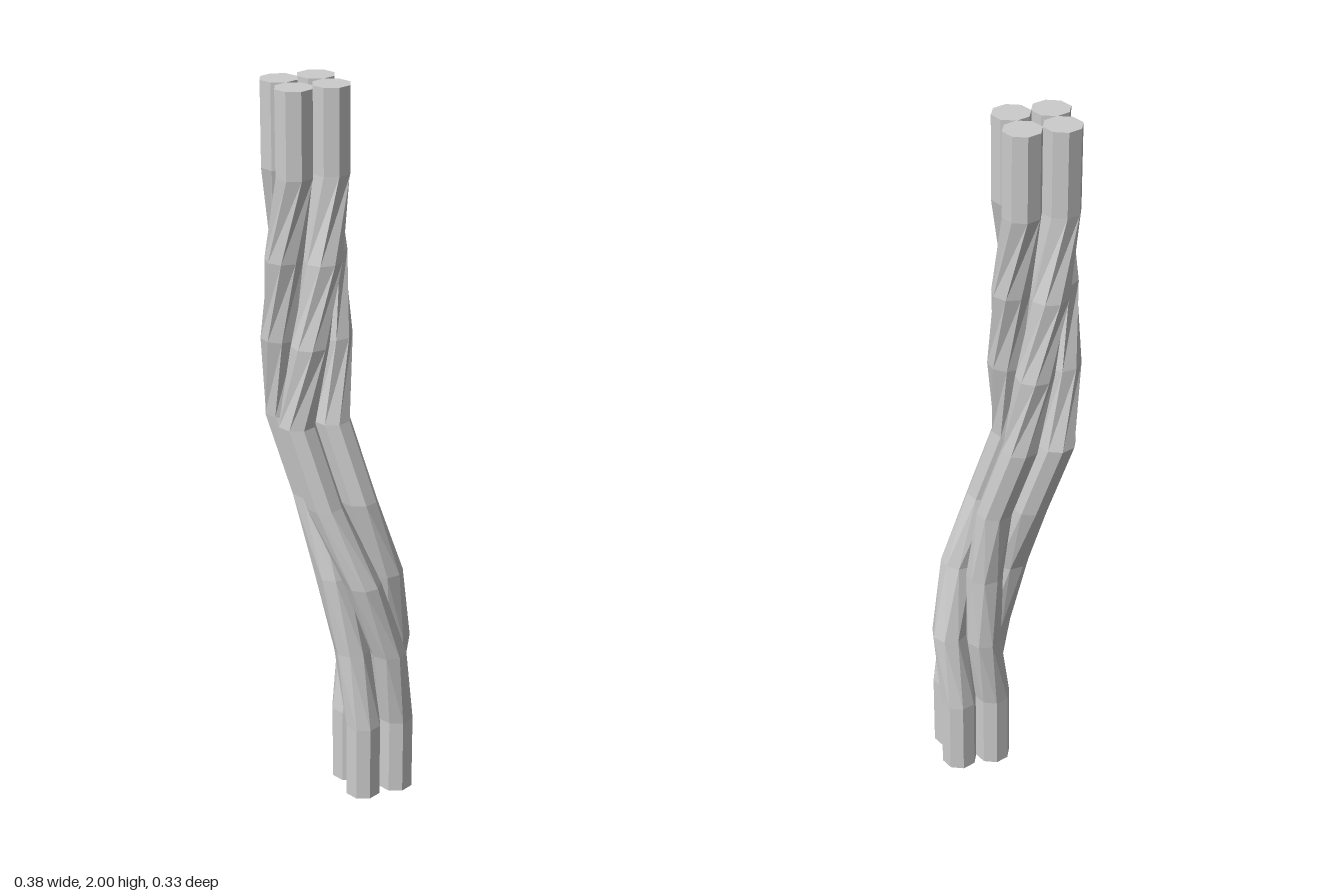
import * as THREE from 'three';

// Rope spine: [centre x, centre z, twist in degrees], evenly spaced from bottom to top
const SPINE = [
  [0.075, 0.049, 0], [0.075, 0.049, 0], [0.073, 0.048, 30], [0.034, 0.045, 60], [-0.02, 0.003, 90],
  [-0.075, -0.049, 90], [-0.075, -0.049, 60], [-0.075, -0.049, 30], [-0.075, -0.049, 0], [-0.075, -0.049, 0],
];
const HEIGHT = 2;
const SIDES = 8;
const STRANDS = 4;
const STRAND_RADIUS = 0.05;
const ORBIT = 0.07;

// One octagonal strand winding round the spine
function strandGeometry(startAngle) {
  const positions = [];
  const index = [];
  const last = SPINE.length - 1;
  SPINE.forEach(([x, z, degrees], i) => {
    const twist = THREE.MathUtils.degToRad(degrees);
    const cx = x + ORBIT * Math.cos(startAngle + twist);
    const cz = z + ORBIT * Math.sin(startAngle + twist);
    for (let k = 0; k < SIDES; k++) {
      const a = (k / SIDES) * Math.PI * 2 + twist;
      positions.push(cx + STRAND_RADIUS * Math.cos(a), (HEIGHT * i) / last, cz + STRAND_RADIUS * Math.sin(a));
    }
  });
  // Side walls
  for (let i = 0; i < last; i++) {
    for (let k = 0; k < SIDES; k++) {
      const a = i * SIDES + k;
      const b = i * SIDES + ((k + 1) % SIDES);
      index.push(a, a + SIDES, b, b, a + SIDES, b + SIDES);
    }
  }
  // End caps
  const top = last * SIDES;
  for (let k = 1; k < SIDES - 1; k++) {
    index.push(0, k, k + 1);
    index.push(top, top + k + 1, top + k);
  }
  const geometry = new THREE.BufferGeometry();
  geometry.setAttribute('position', new THREE.Float32BufferAttribute(positions, 3));
  geometry.setIndex(index);
  geometry.computeVertexNormals();
  return geometry;
}

export function createModel() {
  const group = new THREE.Group();
  group.name = 'twistedRope';
  const material = new THREE.MeshStandardMaterial({ color: 0xcccccc, flatShading: true });
  for (let s = 0; s < STRANDS; s++) {
    const strand = new THREE.Mesh(strandGeometry(Math.PI / 4 + (s / STRANDS) * Math.PI * 2), material);
    strand.name = `strand${s + 1}`;
    group.add(strand);
  }
  return group;
}
